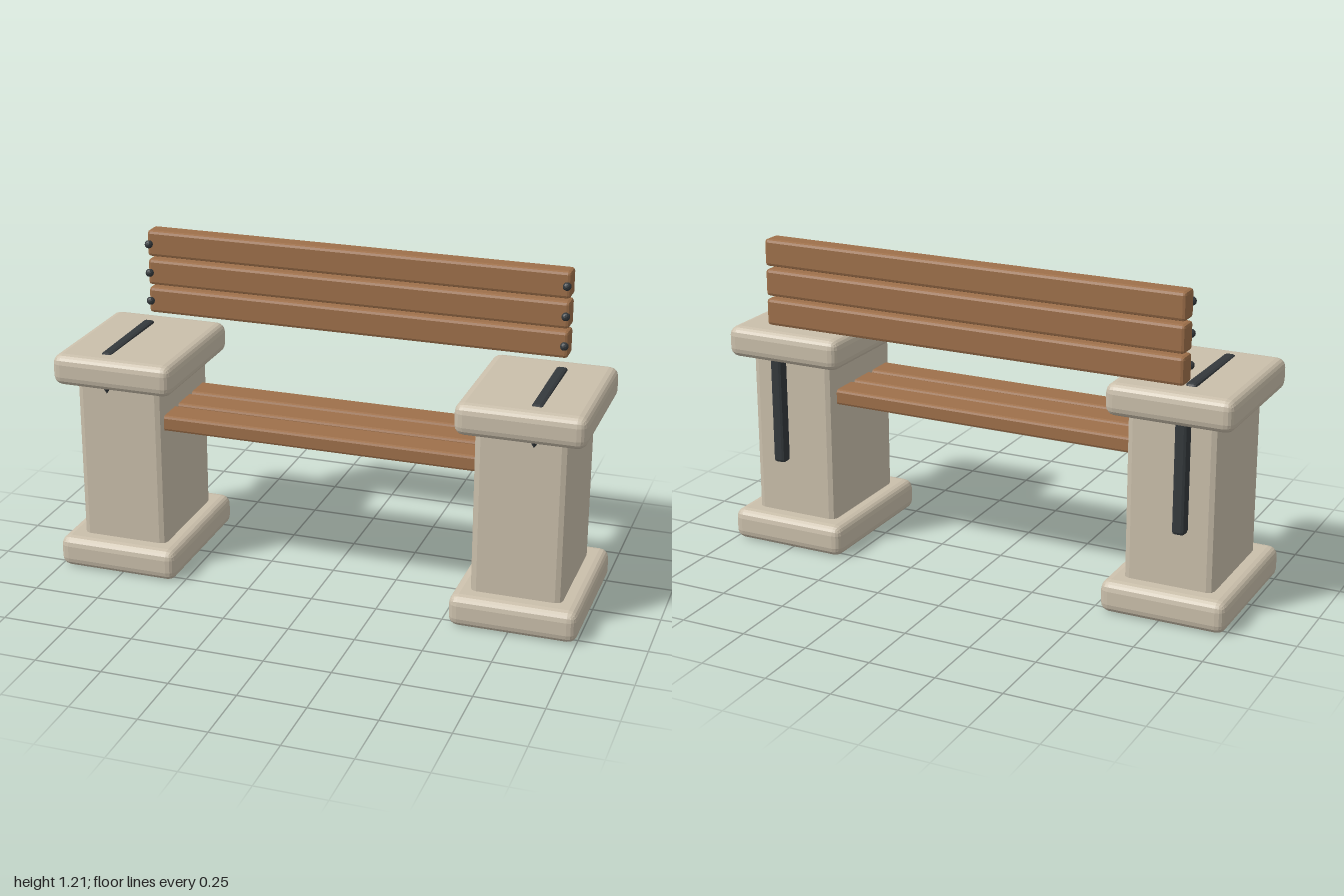
import * as THREE from 'three';
import { RoundedBoxGeometry } from 'three/addons/geometries/RoundedBoxGeometry.js';

const mat = (name, color) => {
  const m = new THREE.MeshStandardMaterial({ color });
  m.name = name;
  return m;
};

export function createModel() {
  const stone = mat('stone', 0xcabfab);
  const wood = mat('wood', 0x9e704a);
  const metal = mat('dark metal', 0x34393c);
  const model = new THREE.Group();
  model.name = 'bench';

  const add = (parent, name, geometry, material, x = 0, y = 0, z = 0) => {
    const mesh = new THREE.Mesh(geometry, material);
    mesh.name = name;
    mesh.position.set(x, y, z);
    parent.add(mesh);
    return mesh;
  };

  // Faceted block with bevelled edges, given by its limits on each axis
  const block = (parent, name, material, [x0, x1], [y0, y1], [z0, z1], bevel, steps = 1) => {
    const g = new RoundedBoxGeometry(x1 - x0, y1 - y0, z1 - z0, steps, bevel);
    g.computeVertexNormals();
    return add(parent, name, g, material, (x0 + x1) / 2, (y0 + y1) / 2, (z0 + z1) / 2);
  };

  // Stone supports with their metal bars
  for (const [side, s] of [['left', 1], ['right', -1]]) {
    const support = new THREE.Group();
    support.name = side + 'Support';
    model.add(support);
    const span = (a, b) => (s > 0 ? [a, b] : [-b, -a]);

    block(support, 'base', stone, span(0.53, 1), [0, 0.12], [-0.298, 0.298], 0.035, 2);
    block(support, 'pillar', stone, span(0.592, 0.93), [0.08, 0.76], [-0.225, 0.225], 0.025);
    block(support, 'cap', stone, span(0.53, 1), [0.732, 0.85], [-0.287, 0.287], 0.035, 2);

    block(support, 'rearBar', metal, span(0.783, 0.831), [0.33, 0.8], [-0.263, -0.2], 0.012);
    const inlay = block(support, 'armrestBar', metal, span(0.787, 0.831), [0.8, 0.858], [-0.185, 0.218], 0.012);
    inlay.rotation.x = 0.012;

    // Tip of the bar under the front of the cap
    block(support, 'barEnd', metal, span(0.785, 0.829), [0.718, 0.745], [0.2, 0.23], 0.006);
    const tip = new THREE.ConeGeometry(0.013, 0.034, 6).toNonIndexed();
    tip.rotateX(Math.PI);
    tip.computeVertexNormals();
    add(support, 'barTip', tip, metal, s * 0.807, 0.705, 0.22);
  }

  // Seat planks
  for (const [z0, z1] of [[-0.183, -0.066], [-0.052, 0.065], [0.083, 0.2]]) {
    block(model, 'seatPlank', wood, [-0.61, 0.61], [0.57, 0.63], [z0, z1], 0.01);
  }

  // Backrest planks with a bolt at each end
  for (const y of [0.93, 1.042, 1.155]) {
    block(model, 'backPlank', wood, [-0.82, 0.82], [y - 0.051, y + 0.051], [-0.285, -0.207], 0.012);
    for (const s of [-1, 1]) {
      const bolt = new THREE.IcosahedronGeometry(0.016, 1);
      bolt.computeVertexNormals();
      add(model, 'bolt', bolt, metal, s * 0.809, y, -0.198);
    }
  }
  return model;
}
